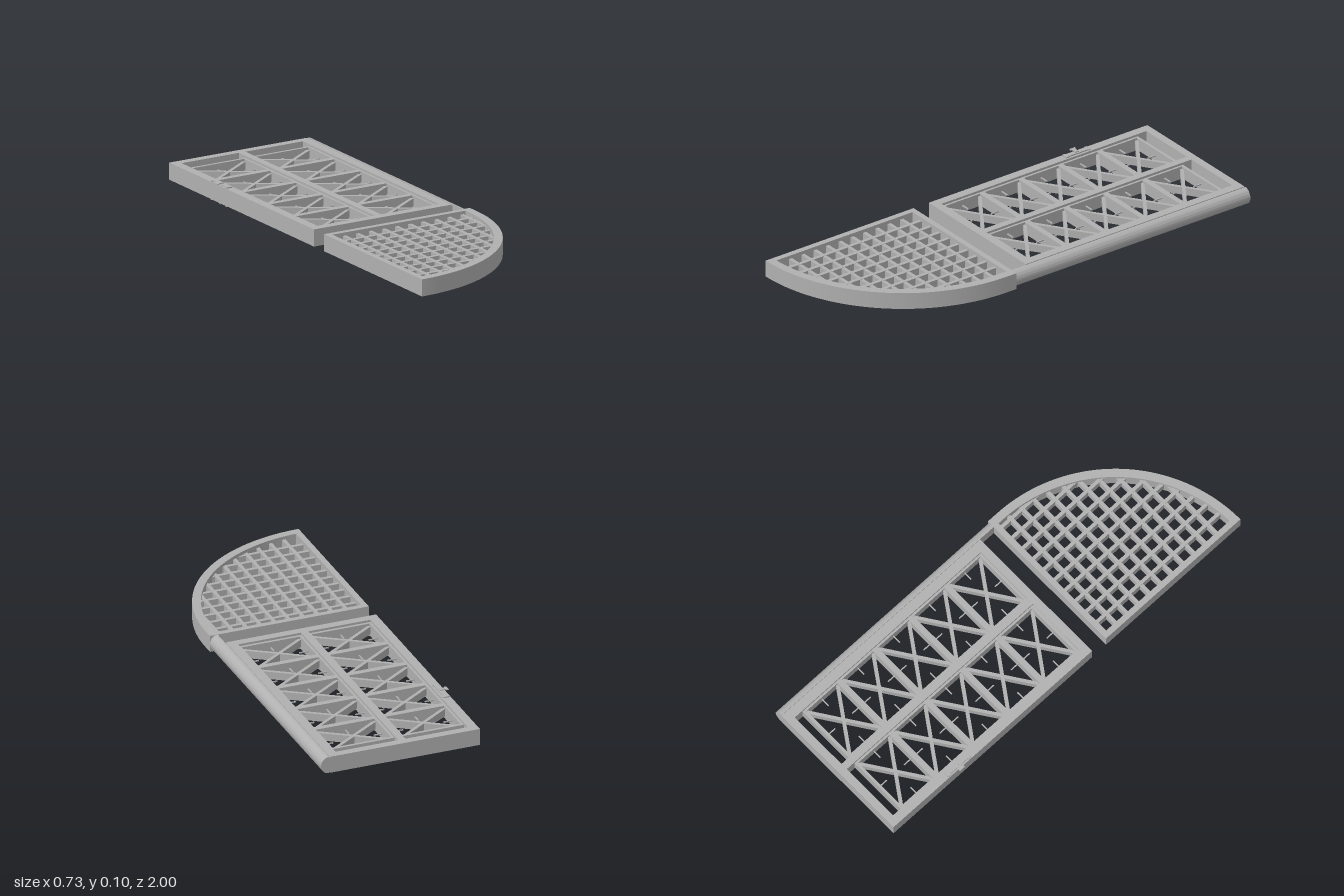
import * as THREE from 'three';
import { toCreasedNormals } from 'three/addons/utils/BufferGeometryUtils.js';

const grey = new THREE.MeshStandardMaterial({ color: 0xb0b0b0 });
grey.name = 'grey metal';

const Y0 = 0.015, Y1 = 0.09; // underside and top of the frames

function add(parent, name, geometry) {
  const mesh = new THREE.Mesh(geometry, grey);
  mesh.name = name;
  parent.add(mesh);
  return mesh;
}

// Box given by its limits
function box(parent, name, x0, x1, y0, y1, z0, z1) {
  const mesh = add(parent, name, new THREE.BoxGeometry(x1 - x0, y1 - y0, z1 - z0));
  mesh.position.set((x0 + x1) / 2, (y0 + y1) / 2, (z0 + z1) / 2);
  return mesh;
}

// Plan outline (x, z) made into a slab between two heights
function slab(parent, name, shape, y0, y1) {
  const g = new THREE.ExtrudeGeometry(shape, { depth: y1 - y0, bevelEnabled: false, curveSegments: 40 });
  g.rotateX(Math.PI / 2).translate(0, y1, 0);
  return add(parent, name, toCreasedNormals(g, 0.5));
}

function rect(path, x0, x1, z0, z1) {
  return path.moveTo(x0, z0).lineTo(x1, z0).lineTo(x1, z1).lineTo(x0, z1).closePath();
}

// One truss panel: thin border, cross rails, X braces and small stubs
function trussPanel(x0, x1) {
  const panel = new THREE.Group();
  panel.name = 'trussPanel';
  const z0 = -0.92, z1 = 0.108, cells = 5, step = (z1 - z0) / cells, b = 0.01;
  const low = 0.025, high = 0.08, mid = (x0 + x1) / 2;
  box(panel, 'panelSide', x0, x0 + b, low, high, z0, z1);
  box(panel, 'panelSide', x1 - b, x1, low, high, z0, z1);
  for (let i = 0; i <= cells; i++) {
    const z = z0 + i * step;
    const a = i === 0 ? 0 : 0.013, c = i === cells ? 0 : 0.013;
    box(panel, 'crossRail', x0 + b, x1 - b, low, high, z - a, z + c);
  }
  for (let i = 0; i < cells; i++) {
    const z = z0 + (i + 0.5) * step;
    const w = x1 - x0 - 2 * b, d = step - 0.026;
    for (const s of [-1, 1]) {
      const brace = add(panel, 'xBrace', new THREE.BoxGeometry(Math.hypot(w, d), 0.034, 0.015));
      brace.position.set(mid, 0.0525, z);
      brace.rotation.y = s * Math.atan2(d, w);
      // Short stubs pointing into the cell
      const ex = mid + s * (w / 2 - 0.02), ez = z + s * (d / 2 - 0.02);
      box(panel, 'sideStub', ex - 0.02, ex + 0.02, 0.05, 0.055, z - 0.0025, z + 0.0025);
      box(panel, 'endStub', mid - 0.0025, mid + 0.0025, 0.05, 0.055, ez - 0.02, ez + 0.02);
    }
  }
  return panel;
}

// Quarter-round panel with a square lattice
function archPanel() {
  const arch = new THREE.Group();
  arch.name = 'archPanel';
  const cx = -0.355, cz = 0.28, R = 0.72, r = 0.683, top = 0.225;
  const outer = new THREE.Shape();
  outer.moveTo(cx, top).lineTo(cx + R, top).lineTo(cx + R, cz);
  outer.absarc(cx, cz, R, 0, Math.PI / 2, false);
  outer.closePath();
  const inner = new THREE.Path();
  const ix = cx + 0.026, iz = top + 0.025;
  inner.moveTo(ix, iz).lineTo(cx + r, iz).lineTo(cx + r, cz);
  inner.absarc(cx, cz, r, 0, Math.acos(0.026 / r), false);
  inner.closePath();
  outer.holes.push(inner);
  slab(arch, 'archFrame', outer, Y0, Y1);

  const w = 0.008, reach = r + 0.012;
  for (let i = 0; i < 10; i++) {
    const x = -0.27 + i * 0.0646, z = 0.307 + i * 0.0647;
    const zEnd = cz + Math.sqrt(Math.max(0, reach ** 2 - (x - cx) ** 2));
    const xEnd = cx + Math.sqrt(Math.max(0, reach ** 2 - (z - cz) ** 2));
    box(arch, 'latticeLong', x - w, x + w, 0.03, 0.076, iz - 0.005, zEnd);
    box(arch, 'latticeCross', ix - 0.005, xEnd, 0.031, 0.075, z - w, z + w);
  }
  return arch;
}

// Latch plate, grip and pin; flipped for the underside
function latch(top) {
  const g = new THREE.Group();
  g.name = top ? 'upperLatch' : 'lowerLatch';
  box(g, 'latchPlate', -0.347, -0.325, 0, 0.005, -0.68, -0.55);
  for (const z of [-0.672, -0.558]) box(g, 'latchFoot', -0.352, -0.322, 0, 0.005, z - 0.006, z + 0.006);
  const pin = add(g, 'latchPin', new THREE.ConeGeometry(0.009, 0.008, 12));
  pin.position.set(-0.342, 0.009, -0.615);
  if (top) {
    box(g, 'latchGrip', -0.367, -0.33, 0.006, 0.01, -0.622, -0.606);
    box(g, 'latchThumb', -0.367, -0.356, 0.006, 0.01, -0.628, -0.6);
  }
  g.position.y = top ? Y1 : Y0;
  if (!top) g.scale.y = -1;
  return g;
}

export function createModel() {
  const model = new THREE.Group();
  model.name = 'archedGate';

  // Rectangular leaf frame with two openings
  const leaf = rect(new THREE.Shape(), -0.355, 0.325, -1, 0.145);
  leaf.holes.push(rect(new THREE.Path(), -0.315, -0.032, -0.965, 0.108));
  leaf.holes.push(rect(new THREE.Path(), 0, 0.285, -0.965, 0.108));
  slab(model, 'leafFrame', leaf, Y0, Y1);
  model.add(trussPanel(-0.315, -0.032), trussPanel(0, 0.285));

  // Hinge post with a rounded outer face
  const section = new THREE.Shape();
  section.moveTo(0.33, Y0);
  section.absellipse(0.33, (Y0 + Y1) / 2, 0.035, (Y1 - Y0) / 2, -Math.PI / 2, Math.PI / 2, false);
  section.closePath();
  const post = new THREE.ExtrudeGeometry(section, { depth: 1.23, bevelEnabled: false, curveSegments: 20 });
  post.translate(0, 0, -1);
  add(model, 'hingePost', toCreasedNormals(post, 0.6));
  box(model, 'hingeStrip', 0.325, 0.33, Y0 + 0.004, Y1 - 0.004, -1, 0.145);

  model.add(archPanel(), latch(true), latch(false));
  return model;
}
